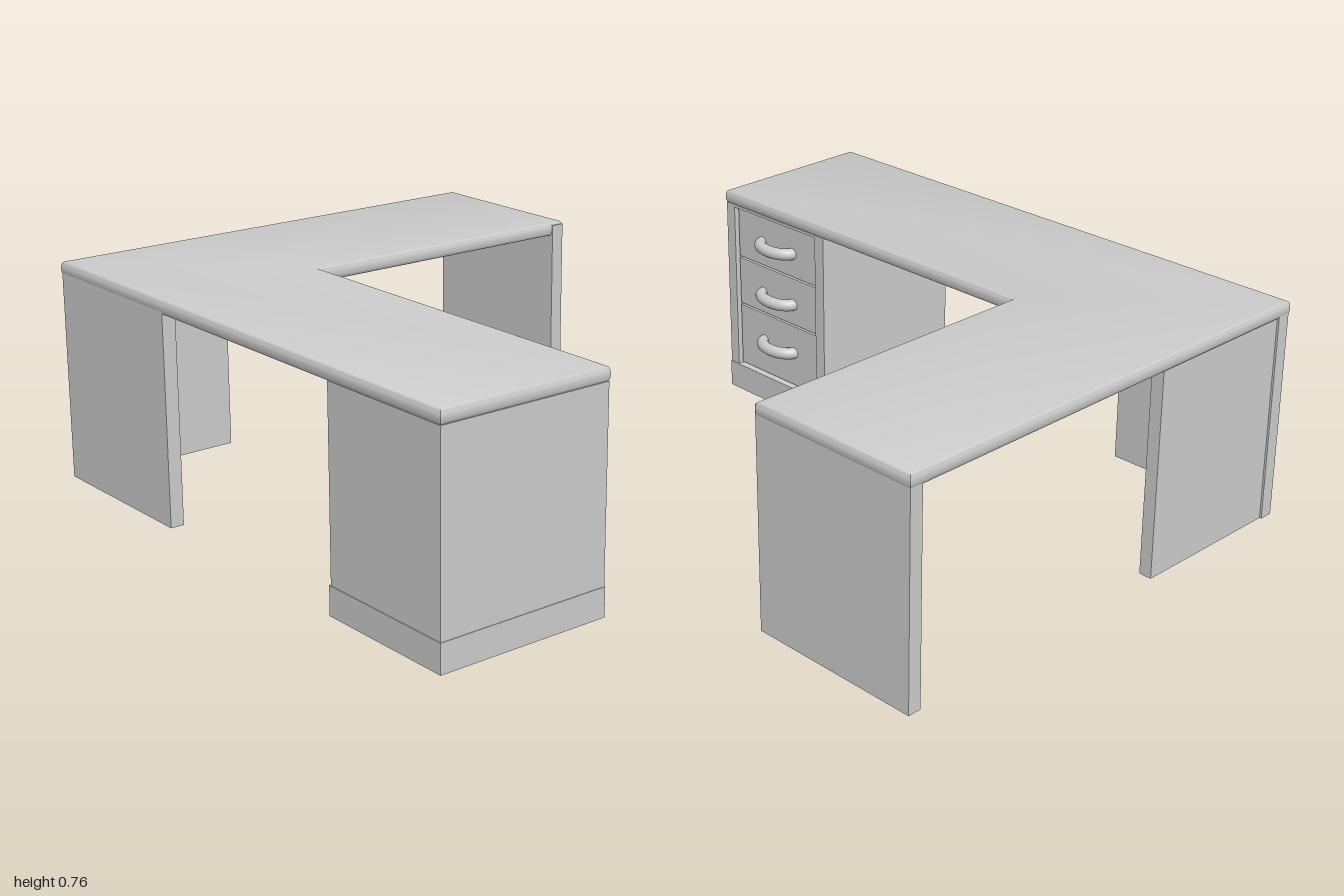
import * as THREE from 'three';
import { toCreasedNormals } from 'three/addons/utils/BufferGeometryUtils.js';

export function createModel() {
  const model = new THREE.Group();
  model.name = 'cornerDesk';
  const grey = new THREE.MeshStandardMaterial({ color: 0xcccccc });

  const add = (name, geometry, parent = model) => {
    const mesh = new THREE.Mesh(geometry, grey);
    mesh.name = name;
    parent.add(mesh);
    return mesh;
  };
  // box given by its low and high limits on each axis
  const box = (name, [x0, x1], [y0, y1], [z0, z1], parent) => {
    const g = new THREE.BoxGeometry(x1 - x0, y1 - y0, z1 - z0);
    g.translate((x0 + x1) / 2, (y0 + y1) / 2, (z0 + z1) / 2);
    return add(name, g, parent);
  };

  // L-shaped worktop with a rounded edge
  const outline = [[-0.84, -1], [0.84, -1], [0.84, -0.38], [-0.227, -0.38], [-0.227, 1], [-0.84, 1]];
  const shape = new THREE.Shape(outline.map(([x, z]) => new THREE.Vector2(x, -z)));
  const topGeo = new THREE.ExtrudeGeometry(shape, {
    depth: 0.004, bevelThickness: 0.022, bevelSize: 0.01, bevelOffset: -0.01, bevelSegments: 4,
  });
  topGeo.rotateX(-Math.PI / 2);
  topGeo.translate(0, 0.739, 0);
  add('worktop', toCreasedNormals(topGeo, 0.6));

  // upright panels carrying the long arm and the corner
  box('endPanel', [0.79, 0.837], [0.006, 0.755], [-0.997, -0.376]);
  box('cornerSidePanel', [-0.838, -0.79], [0.006, 0.755], [-0.997, -0.376]);
  box('cornerBackPanel', [-0.79, -0.23], [0.006, 0.72], [-0.99, -0.945]);

  // drawer pedestal: plinth, carcass and the frame around the drawers
  const pedestal = new THREE.Group();
  pedestal.name = 'drawerPedestal';
  model.add(pedestal);
  box('plinth', [-0.84, -0.228], [0, 0.097], [0.488, 1], pedestal);
  box('carcass', [-0.838, -0.255], [0.097, 0.72], [0.494, 0.998], pedestal);
  box('frameFrontSide', [-0.255, -0.23], [0.097, 0.72], [0.957, 0.998], pedestal);
  box('frameBackSide', [-0.255, -0.23], [0.097, 0.72], [0.494, 0.537], pedestal);
  box('frameTop', [-0.255, -0.23], [0.71, 0.72], [0.537, 0.957], pedestal);

  // bowed drawer handle
  const bow = new THREE.CatmullRomCurve3(
    Array.from({ length: 9 }, (_, i) => {
      const a = (i / 8) * Math.PI;
      return new THREE.Vector3(0.05 * Math.sin(a), 0, 0.08 * Math.cos(a));
    })
  );
  const handleGeo = new THREE.TubeGeometry(bow, 24, 0.021, 14);

  // three drawers
  [[0.105, 0.334, 0.23], [0.341, 0.517, 0.417], [0.524, 0.706, 0.61]].forEach(([y0, y1, handleY]) => {
    const drawer = new THREE.Group();
    drawer.name = 'drawer';
    pedestal.add(drawer);
    box('drawerFront', [-0.255, -0.243], [y0, y1], [0.545, 0.95], drawer);
    add('drawerHandle', handleGeo, drawer).position.set(-0.25, handleY, 0.747);
  });

  return model;
}
